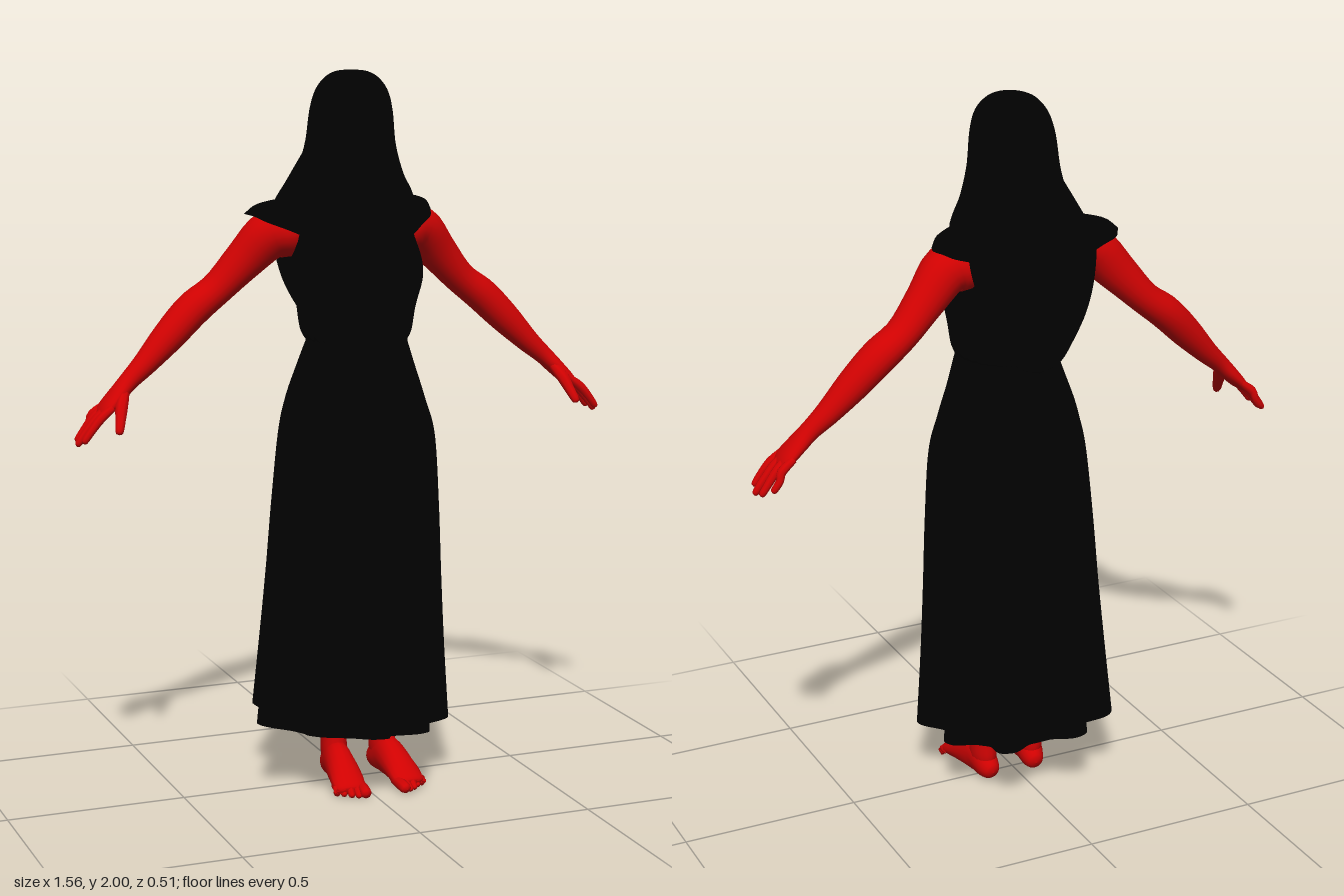
import * as THREE from 'three';

const TAU = Math.PI * 2;
const cloth = new THREE.MeshStandardMaterial({ color: 0x010101, side: THREE.DoubleSide });
cloth.name = 'black cloth';
const skin = new THREE.MeshStandardMaterial({ color: 0xd00202 });
skin.name = 'red skin';

// Joins closed rings of points into one smooth surface.
function loft(name, rings, material) {
  const n = rings[0].length, pos = [], index = [];
  rings.forEach(ring => ring.forEach(p => pos.push(p.x, p.y, p.z)));
  for (let i = 0; i < rings.length - 1; i++) {
    for (let j = 0; j < n; j++) {
      const k = (j + 1) % n, a = i * n, b = a + n;
      index.push(a + j, a + k, b + k, a + j, b + k, b + j);
    }
  }
  const geo = new THREE.BufferGeometry();
  geo.setAttribute('position', new THREE.Float32BufferAttribute(pos, 3));
  geo.setIndex(index);
  geo.computeVertexNormals();
  const mesh = new THREE.Mesh(geo, material);
  mesh.name = name;
  return mesh;
}

// Tapered limb through points [x, y, z, radius across, radius along ref].
function limb(name, pts, ref, steps = 24, n = 16) {
  const path = new THREE.CatmullRomCurve3(pts.map(p => new THREE.Vector3(p[0], p[1], p[2])), false, 'catmullrom');
  const size = new THREE.CatmullRomCurve3(pts.map(p => new THREE.Vector3(p[3], p[4] ?? p[3], 0)), false, 'catmullrom');
  const rings = [];
  for (let i = 0; i <= steps; i++) {
    const c = path.getPoint(i / steps), t = path.getTangent(i / steps), r = size.getPoint(i / steps);
    const s = t.clone().cross(ref).normalize(), b = t.clone().cross(s);
    rings.push(Array.from({ length: n }, (_, j) => c.clone()
      .addScaledVector(s, Math.max(0, r.x) * Math.cos(j / n * TAU))
      .addScaledVector(b, Math.max(0, r.y) * Math.sin(j / n * TAU))));
  }
  return loft(name, rings, skin);
}

// Cloth shell through rows [y, centre x, half width, front z, back z], top to bottom.
function shell(name, rows, steps, n, shape = () => {}) {
  const a3 = new THREE.CatmullRomCurve3(rows.map(r => new THREE.Vector3(r[0], r[1], r[2])), false, 'catmullrom');
  const b3 = new THREE.CatmullRomCurve3(rows.map(r => new THREE.Vector3(r[3], r[4], 0)), false, 'catmullrom');
  const rings = [];
  for (let i = 0; i <= steps; i++) {
    const t = i / steps, A = a3.getPoint(t), B = b3.getPoint(t);
    const cz = (B.x + B.y) / 2, rz = (B.x - B.y) / 2;
    rings.push(Array.from({ length: n }, (_, j) => {
      const a = j / n * TAU;
      const p = new THREE.Vector3(Math.cos(a) * A.z, A.x, Math.sin(a) * rz);
      shape(p, a, t);
      p.x += A.y;
      p.z += cz;
      return p;
    }));
  }
  return loft(name, rings, cloth);
}

const scaleXZ = (p, k) => { p.x *= k; p.z *= k; };

// Bump around an angle in degrees; a higher power gives a flatter top
const bump = (a, deg, width, power = 2) => {
  const d = Math.atan2(Math.sin(a - deg * TAU / 360), Math.cos(a - deg * TAU / 360));
  return Math.exp(-(Math.abs(d / width) ** power));
};
// Hem folds: angle and strength
const hemFolds = [[18, 1], [59, 1], [90, 1], [129, 0.5], [167, 1], [221, 1], [252, 1], [298, 1], [340, 0.7]];

function arm(side) {
  const g = new THREE.Group(), Z = new THREE.Vector3(0, 0, 1);
  g.name = side > 0 ? 'leftArm' : 'rightArm';
  const add = (name, pts, steps, n) =>
    g.add(limb(name, pts.map(([x, ...rest]) => [x * side, ...rest]), Z, steps, n));
  add('armAndPalm', [
    [0.13, 1.57, -0.04, 0.03], [0.165, 1.563, -0.04, 0.066, 0.08], [0.22, 1.555, -0.05, 0.067, 0.07],
    [0.285, 1.49, -0.068, 0.056, 0.055], [0.36, 1.412, -0.083, 0.045, 0.051], [0.43, 1.358, -0.085, 0.048, 0.053],
    [0.5, 1.29, -0.078, 0.044, 0.047], [0.57, 1.22, -0.07, 0.033, 0.037], [0.62, 1.175, -0.063, 0.026, 0.031],
    [0.655, 1.14, -0.057, 0.023, 0.04], [0.69, 1.105, -0.052, 0.018, 0.046], [0.71, 1.083, -0.05, 0.008, 0.03],
    [0.712, 1.08, -0.05, 0, 0]], 44, 20);
  // Four fingers, then the thumb
  [[-0.09, -0.1, 0.745, 1.032], [-0.066, -0.072, 0.768, 1.016],
    [-0.04, -0.04, 0.775, 1.01], [-0.015, -0.008, 0.765, 1.022]].forEach(([z0, z1, x, y]) =>
    add('finger', [[0.68, 1.112, z0, 0.011], [0.715, 1.085, (z0 + z1) / 2, 0.013],
      [x - 0.022, y + 0.03, z1, 0.011], [x - 0.004, y + 0.005, z1, 0.009], [x, y, z1, 0]], 12, 8));
  add('thumb', [[0.635, 1.155, -0.045, 0.012], [0.655, 1.12, -0.012, 0.018], [0.667, 1.085, 0.014, 0.015],
    [0.677, 1.055, 0.036, 0.011], [0.679, 1.048, 0.04, 0]], 14, 8);
  return g;
}

function leg(side) {
  const g = new THREE.Group(), Y = new THREE.Vector3(0, 1, 0), Z = new THREE.Vector3(0, 0, 1);
  g.name = side > 0 ? 'leftLeg' : 'rightLeg';
  g.add(limb('ankle', [[0, 0.202, -0.013, 0], [0, 0.2, -0.013, 0.036, 0.043], [0, 0.17, -0.013, 0.035, 0.041],
    [0, 0.12, -0.012, 0.036, 0.045], [0, 0.08, -0.01, 0.036, 0.05], [0, 0.04, -0.01, 0.03, 0.045]], Z));
  g.add(limb('foot', [[0, 0.035, -0.072, 0], [0, 0.037, -0.064, 0.022, 0.024], [0, 0.044, -0.035, 0.034, 0.04],
    [0, 0.062, 0.01, 0.038, 0.058], [0, 0.058, 0.05, 0.042, 0.053], [0, 0.044, 0.1, 0.046, 0.038],
    [0, 0.029, 0.14, 0.047, 0.024], [0, 0.021, 0.165, 0.035, 0.013], [0, 0.02, 0.168, 0, 0]], Y));
  for (let i = 0; i < 5; i++) {
    const x = side * (-0.033 + i * 0.018), r = i ? 0.0105 : 0.016, end = 0.205 - i * 0.009 - (i > 2 ? 0.006 : 0);
    g.add(limb('toe', [[x, 0.025, 0.125, r * 0.8], [x, 0.023, 0.16, r], [x, r + 0.003, end - 0.012, r],
      [x, r + 0.001, end - 0.003, r * 0.6], [x, r, end, 0]], Y, 10, 8));
  }
  g.position.x = side > 0 ? 0.1 : -0.05;
  g.rotation.y = side > 0 ? 0.1 : -0.08;
  return g;
}

export function createModel() {
  const model = new THREE.Group();

  // Long skirt: gathered at the waist, opening into deep rounded folds at the hem
  model.add(shell('skirt', [
    [1.275, 0, 0.133, 0.18, -0.1], [1.2, 0, 0.162, 0.188, -0.127], [1.1, 0, 0.2, 0.204, -0.16],
    [1.0, 0.003, 0.227, 0.217, -0.182], [0.8, 0, 0.245, 0.228, -0.204], [0.6, -0.004, 0.258, 0.238, -0.222],
    [0.4, -0.009, 0.274, 0.247, -0.238], [0.19, -0.012, 0.293, 0.256, -0.26]], 48, 216, (p, a, t) => {
    const lobe = Math.max(...hemFolds.map(([deg, k]) => k * bump(a, deg, 0.18, 3)));
    const gather = 0.02 * Math.cos(36 * a) * Math.max(0, 1 - t * 3.5);
    scaleXZ(p, 1 - 0.25 * Math.pow(t, 1.8) * (1 - lobe) + gather);
    p.y -= t * (0.06 * p.x + 0.015 * (1 - lobe));
  }));

  // Bodice, full at the bust and bloused over the belt
  model.add(shell('bodice', [
    [1.64, 0, 0.1, 0.1, -0.1], [1.6, 0, 0.155, 0.135, -0.125], [1.55, 0, 0.168, 0.165, -0.135],
    [1.5, 0, 0.174, 0.192, -0.138], [1.44, 0, 0.172, 0.198, -0.135], [1.37, 0, 0.163, 0.192, -0.128],
    [1.31, 0, 0.155, 0.187, -0.12], [1.285, 0, 0.147, 0.184, -0.112], [1.268, 0, 0.134, 0.18, -0.1]], 28, 180, (p, a, t) => {
    const bust = 0.15 * Math.exp(-(((p.y - 1.455) / 0.085) ** 2)) * (bump(a, 50, 0.42) + bump(a, 130, 0.42));
    scaleXZ(p, 1 + bust + 0.018 * Math.cos(32 * a) * Math.max(0, t - 0.5));
  }));
  model.add(shell('belt', [[1.285, 0, 0.134, 0.178, -0.1], [1.272, 0, 0.139, 0.184, -0.105],
    [1.255, 0, 0.139, 0.186, -0.107], [1.24, 0, 0.138, 0.182, -0.106]], 8, 64));

  // Collar lying on the chest in a shallow V and reaching out to a cap on each shoulder
  model.add(shell('shoulderCollar', [
    [1.665, 0, 0.12, 0.1, -0.12], [1.657, 0, 0.17, 0.122, -0.135], [1.65, -0.003, 0.21, 0.142, -0.145],
    [1.638, -0.01, 0.247, 0.163, -0.15], [1.614, -0.015, 0.27, 0.18, -0.152]], 14, 96, (p, a, t) => {
    const s = Math.sin(a), c = Math.cos(a);
    p.x *= 1 - t * 0.32 * (1 - Math.abs(c));
    p.z -= t * 0.072 * c * c;
    p.y -= t * (s > 0 ? 0.089 : 0.055) * s * s;
    scaleXZ(p, 1 + 0.01 * t * Math.cos(14 * a));
  }));

  // Veil wrapped over the whole head, with a long fall down the back
  model.add(shell('headVeil', [
    [2.0, 0, 0, 0.005, 0.005], [1.996, 0, 0.04, 0.05, -0.045], [1.98, 0, 0.07, 0.085, -0.08],
    [1.945, 0, 0.095, 0.118, -0.115], [1.89, 0, 0.109, 0.134, -0.139], [1.8, 0, 0.12, 0.138, -0.153],
    [1.72, 0, 0.146, 0.137, -0.162], [1.65, 0, 0.18, 0.136, -0.17], [1.57, 0, 0.165, 0.13, -0.165]], 36, 96, (p, a, t) => {
    scaleXZ(p, 1 + 0.025 * Math.max(0, t - 0.4) * Math.cos(11 * a + 5 * t));
  }));
  model.add(shell('backVeil', [
    [1.78, 0, 0.1, -0.05, -0.14], [1.7, 0, 0.145, -0.06, -0.158], [1.62, 0, 0.185, -0.07, -0.178],
    [1.52, 0, 0.175, -0.09, -0.195], [1.42, 0, 0.145, -0.11, -0.197], [1.34, 0, 0.1, -0.13, -0.19],
    [1.29, 0, 0.058, -0.15, -0.182], [1.27, 0, 0, -0.17, -0.17]], 30, 96, (p, a, t) => {
    p.z *= 1 + 0.15 * Math.sin(Math.PI * t) * Math.cos(50 * p.x + 4 * t);
  }));

  for (const side of [1, -1]) model.add(arm(side), leg(side));
  return model;
}
